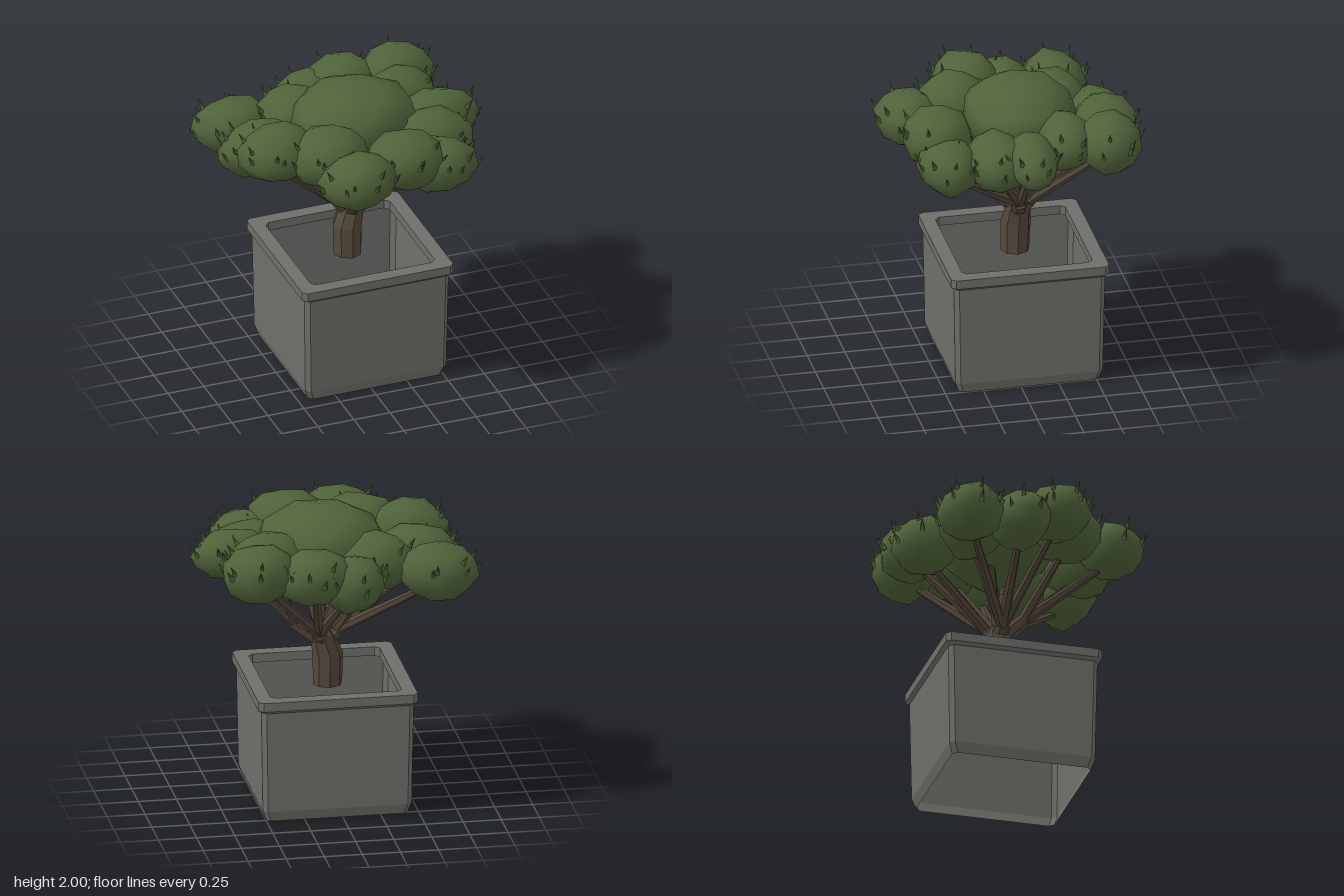
import * as THREE from 'three';
import { mergeVertices } from 'three/addons/utils/BufferGeometryUtils.js';

const V = (x, y, z) => new THREE.Vector3(x, y, z);

// Foliage clumps: centre x, y, z, then radii x, y, z
const CLUMPS = [
  [0.06, 1.74, -0.08, 0.43, 0.26, 0.38],
  [-0.63, 1.63, -0.46, 0.27, 0.19, 0.21],
  [-0.57, 1.64, -0.11, 0.28, 0.19, 0.20],
  [-0.55, 1.73, 0.14, 0.26, 0.19, 0.22],
  [-0.25, 1.73, 0.29, 0.27, 0.19, 0.23],
  [-0.17, 1.69, 0.61, 0.26, 0.18, 0.21],
  [0.20, 1.71, 0.49, 0.26, 0.19, 0.23],
  [0.46, 1.61, 0.47, 0.25, 0.18, 0.20],
  [0.51, 1.64, 0.16, 0.28, 0.19, 0.21],
  [0.64, 1.68, -0.04, 0.27, 0.17, 0.17],
  [0.46, 1.72, -0.30, 0.26, 0.18, 0.19],
  [0.55, 1.72, -0.57, 0.25, 0.20, 0.21],
  [0.20, 1.69, -0.62, 0.25, 0.19, 0.21],
  [-0.04, 1.63, -0.61, 0.23, 0.19, 0.21],
  [-0.25, 1.69, -0.35, 0.25, 0.19, 0.23],
];

// Boughs: elbow point and the clumps its branches reach
const FORK = V(0.06, 1.10, -0.08);
const BOUGHS = [
  [V(-0.04, 1.13, -0.08), [1, 2, 3, 14]],
  [V(0.01, 1.21, 0.08), [4, 5, 6]],
  [V(0.24, 1.19, -0.05), [7, 8, 9, 10]],
  [V(0.09, 1.13, -0.15), [11, 12, 13]],
];

// Skin a stack of chamfered squares, each given as [y, half width, chamfer]
function squareLoft(profile) {
  const pos = [], index = [];
  for (const [y, h, c] of profile) {
    const k = h - c;
    for (const [x, z] of [[h, -k], [h, k], [k, h], [-k, h], [-h, k], [-h, -k], [-k, -h], [k, -h]])
      pos.push(x, y, z);
  }
  for (let i = 0; i < profile.length - 1; i++)
    for (let j = 0; j < 8; j++) {
      const a = i * 8 + j, b = i * 8 + (j + 1) % 8;
      index.push(a, a + 8, b + 8, a, b + 8, b);
    }
  const g = new THREE.BufferGeometry();
  g.setAttribute('position', new THREE.Float32BufferAttribute(pos, 3));
  g.setIndex(index);
  g.computeVertexNormals();
  return g;
}

// Bent upright stem through level rings, each given as [x, y, z, radius]
function stem(rings, sides) {
  const n = rings.length - 1;
  const g = new THREE.CylinderGeometry(1, 1, n, sides, n);
  const p = g.attributes.position;
  for (let i = 0; i < p.count; i++) {
    const [x, y, z, r] = rings[Math.round(p.getY(i) + n / 2)];
    p.setXYZ(i, x + p.getX(i) * r, y, z + p.getZ(i) * r);
  }
  return g;
}

// Tapered faceted limb between two points
function limb(name, a, b, ra, rb, material) {
  const dir = b.clone().sub(a);
  const m = new THREE.Mesh(new THREE.CylinderGeometry(rb, ra, dir.length(), 6), material);
  m.position.copy(a).addScaledVector(dir, 0.5);
  m.quaternion.setFromUnitVectors(V(0, 1, 0), dir.normalize());
  m.name = name;
  return m;
}

// Rounded clump with a slightly lumpy outline
function clumpGeometry(ball, seed, rx, ry, rz) {
  const g = ball.clone().rotateY(seed * 1.3);
  const p = g.attributes.position;
  for (let i = 0; i < p.count; i++) {
    const y = p.getY(i);
    const s = y > 0.95 ? 1 : 1 + 0.05 * Math.sin(seed * 7.3 + i * 2.9);
    p.setXYZ(i, p.getX(i) * s * rx, y * s * ry, p.getZ(i) * s * rz);
  }
  g.computeVertexNormals();
  return g;
}

export function createModel() {
  const model = new THREE.Group();
  model.name = 'pottedTree';
  const stone = new THREE.MeshStandardMaterial({ color: 0x6e6e6a, flatShading: true, side: THREE.DoubleSide });
  stone.name = 'grey stone';
  const bark = new THREE.MeshStandardMaterial({ color: 0x54483b, flatShading: true });
  bark.name = 'brown bark';
  const leaf = new THREE.MeshStandardMaterial({ color: 0x50633a });
  leaf.name = 'leaf green';

  // Hollow square planter with a thick rim
  const pot = new THREE.Mesh(squareLoft([
    [0, 0.465, 0.03], [0.07, 0.488, 0.03], [0.75, 0.5, 0.03], [0.77, 0.523, 0.03],
    [0.83, 0.523, 0.03], [0.83, 0.43, 0.03], [0.77, 0.43, 0.03], [0.76, 0.5, 0.03],
  ]), stone);
  pot.name = 'planter';
  pot.position.set(0.035, 0, -0.055);
  model.add(pot);

  // Trunk bends to the fork and ends in a short stub
  const wood = new THREE.Group();
  wood.name = 'trunkAndBranches';
  const trunk = new THREE.Mesh(stem([
    [0.02, 0.76, -0.065, 0.095], [0.02, 0.97, -0.07, 0.1], [0.06, 1.11, -0.08, 0.082],
    [0.07, 1.19, -0.07, 0.05], [0.08, 1.40, -0.05, 0.035],
  ], 8), bark);
  trunk.name = 'trunk';
  wood.add(trunk);

  // Boughs split at the elbow into one branch per clump
  for (const [elbow, reach] of BOUGHS) {
    wood.add(limb('bough', V(0.05, 1.06, -0.08), elbow, 0.058, 0.046, bark));
    const start = elbow.clone().lerp(FORK, 0.12);
    for (const i of reach) {
      const [x, y, z] = CLUMPS[i];
      wood.add(limb('branch', start, V(x * 0.97, y - 0.09, z * 0.97), 0.036, 0.022, bark));
    }
  }
  for (const [x, z] of [[-0.12, -0.2], [0.22, 0.02]])
    wood.add(limb('crownBranch', FORK, V(x, 1.65, z), 0.038, 0.025, bark));
  model.add(wood);

  // Smooth low-poly clumps, the outer ones tipped outward
  const ico = new THREE.IcosahedronGeometry(1, 1);
  ico.deleteAttribute('normal');
  ico.deleteAttribute('uv');
  const ball = mergeVertices(ico, 1e-4);
  const spikeGeo = new THREE.ConeGeometry(0.019, 0.095, 5);
  spikeGeo.translate(0, 0.03, 0);
  const crown = new THREE.Group();
  crown.name = 'foliage';
  CLUMPS.forEach(([x, y, z, rx, ry, rz], i) => {
    const clump = new THREE.Mesh(clumpGeometry(ball, i, rx, ry, rz), leaf);
    clump.name = 'leafClump';
    clump.position.set(x, y, z);
    crown.add(clump);
    if (i === 0) return;
    const out = Math.atan2(z, x);
    clump.quaternion.setFromAxisAngle(V(Math.sin(out), 0, -Math.cos(out)), 0.1);

    // Upturned leaf tips on the outward side of each clump
    for (let k = 0; k < 7; k++) {
      const a = out + (k - 3) * 0.45 + 0.2 * Math.sin(i * 5 + k * 3);
      const e = (k % 2 ? 0.5 : 0.15) + 0.15 * Math.sin(i + k * 2);
      const n = V(Math.cos(a) * Math.cos(e), Math.sin(e), Math.sin(a) * Math.cos(e));
      const spike = new THREE.Mesh(spikeGeo, leaf);
      spike.name = 'leafTip';
      spike.position.set(n.x * rx, n.y * ry, n.z * rz).multiplyScalar(0.95)
        .applyQuaternion(clump.quaternion).add(clump.position);
      spike.quaternion.setFromUnitVectors(V(0, 1, 0), V(n.x * 0.7, 1, n.z * 0.7).normalize());
      crown.add(spike);
    }
  });
  model.add(crown);
  return model;
}
